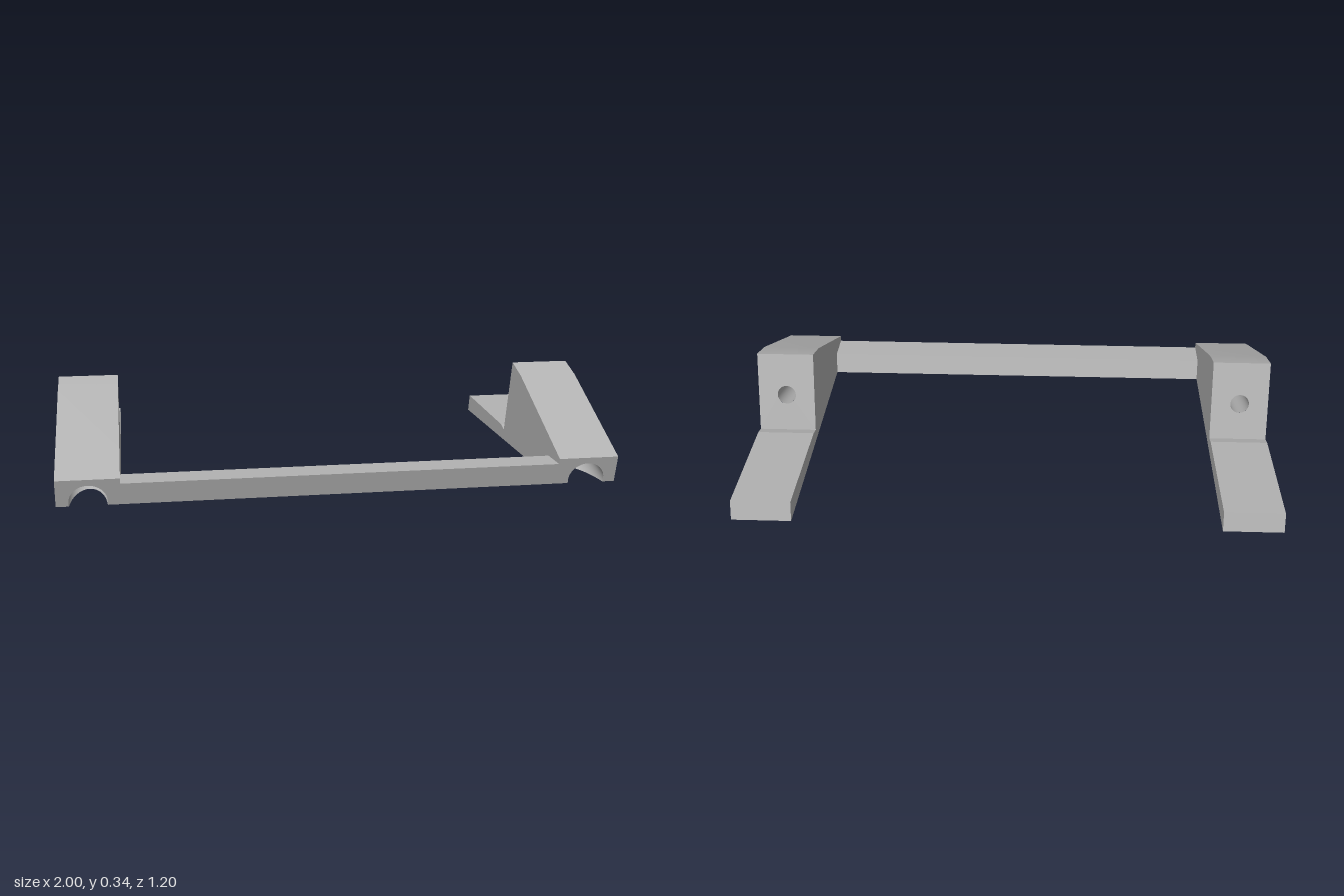
import * as THREE from 'three';

const V = (x, y, z) => new THREE.Vector3(x, y, z);
const LEAN = Math.atan(0.28), COS = Math.cos(LEAN), SIN = Math.sin(LEAN);
const X = V(1, 0, 0), Y = V(0, 1, 0), Z = V(0, 0, 1);
const UP = V(0, COS, SIN);     // up along the leaning faces
const INTO = V(0, SIN, -COS);  // bore direction, front to back

const HALF = 0.11;             // half width of a leg
const TOE = V(0, 0, 0.572);    // foot of the front face
const HEEL = V(0, 0.043, -0.063); // foot of the back slope
const PROFILE = [[0.6, 0.1], [0.13, 0.307], [0.02, 0.34], [-0.063, 0.043],
  [-0.105, 0.055], [-0.578, 0.07], [-0.597, 0], [0.572, 0]]; // z, y
const BIG = 0.067, SMALL = 0.036, DEPTH = 0.3;
const BORE_V = 0.0135;         // bore height on the front face

const shapeOf = pts => new THREE.Shape(pts.map(p => new THREE.Vector2(p[0], p[1])));
const circle = (r, y) => new THREE.Path().absarc(0, y, r, 0, Math.PI * 2, true);
const place = (geo, o, u, v) => geo.applyMatrix4(
  new THREE.Matrix4().makeBasis(u, v, u.clone().cross(v)).setPosition(o));
const patch = (shape, o, u, v) => place(new THREE.ShapeGeometry(shape, 32), o, u, v);

// Smooth skin between two rows of points
function skin(a, b, closed = false) {
  const n = a.length, index = [];
  for (let i = 0; i < (closed ? n : n - 1); i++) {
    const j = (i + 1) % n;
    index.push(i, j, n + j, i, n + j, n + i);
  }
  const geo = new THREE.BufferGeometry().setFromPoints([...a, ...b]);
  geo.setIndex(index);
  geo.computeVertexNormals();
  return geo;
}

const sweep = (from, to, n) => Array.from({ length: n + 1 }, (_, i) => from + (to - from) * i / n);

function createLeg(material, name) {
  const leg = new THREE.Group();
  leg.name = name;
  const add = (geo, part) => {
    const mesh = new THREE.Mesh(geo, material);
    mesh.name = part;
    leg.add(mesh);
  };

  // Side walls
  add(patch(shapeOf(PROFILE.map(([z, y]) => [-z, y])), V(HALF, 0, 0), Z.clone().negate(), Y), 'leftWall');
  add(patch(shapeOf(PROFILE), V(-HALF, 0, 0), Z, Y), 'rightWall');

  // Upper surfaces: one softly bent ramp, then the flat tail
  const strip = (from, to, part) => {
    const row = x => PROFILE.slice(from, to + 1).map(([z, y]) => V(x, y, z));
    add(skin(row(HALF), row(-HALF)), part);
  };
  strip(0, 2, 'ramp');
  strip(3, 4, 'tailLip');
  strip(4, 5, 'tailTop');
  strip(5, 6, 'tailEnd');

  // Point on a bore wall at an angle and distance from the front face
  const centre = TOE.clone().addScaledVector(UP, BORE_V);
  const bore = (r, t, s) => centre.clone().addScaledVector(X, r * Math.cos(t))
    .addScaledVector(UP, r * Math.sin(t)).addScaledVector(INTO, s);
  // The wide bore opens through the front face and the underside
  const rim = t => bore(BIG, t, Math.max(0, -(BORE_V + BIG * Math.sin(t)) * COS / SIN));
  const a0 = Math.asin(-BORE_V / BIG);
  const frontArc = sweep(a0, Math.PI - a0, 28);
  const underArc = sweep(Math.PI - a0, Math.PI * 2 + a0, 24);

  // Front face with a round notch
  const top = 0.1 / COS;
  const notch = frontArc.map(t => [BIG * Math.cos(t), BORE_V + BIG * Math.sin(t)]).reverse();
  add(patch(shapeOf([[-HALF, 0], ...notch, [HALF, 0], [HALF, top], [-HALF, top]]), TOE, X, UP), 'frontFace');

  // Underside with the matching notch
  const slot = underArc.map(t => { const p = rim(t); return [p.x, p.z]; });
  add(patch(shapeOf([[-HALF, -0.597], [HALF, -0.597], [HALF, TOE.z], ...slot.reverse(), [-HALF, TOE.z]]),
    V(0, 0, 0), X, Z), 'underside');

  // Back slope with the small hole
  const offset = centre.clone().sub(HEEL);
  const back = shapeOf([[-HALF, 0], [HALF, 0], [HALF, 0.297 / COS], [-HALF, 0.297 / COS]]);
  back.holes.push(circle(SMALL, offset.dot(UP)));
  add(patch(back, HEEL, X.clone().negate(), UP), 'backSlope');

  // Wide bore, its shoulder and the narrow bore
  const angles = [...frontArc, ...underArc.slice(1, -1)];
  add(skin(angles.map(rim), angles.map(t => bore(BIG, t, DEPTH)), true), 'wideBore');
  const shoulder = new THREE.Shape().absarc(0, 0, BIG, 0, Math.PI * 2, false);
  shoulder.holes.push(circle(SMALL, 0));
  add(patch(shoulder, centre.clone().addScaledVector(INTO, DEPTH), X, UP), 'boreShoulder');
  const ring = sweep(0, Math.PI * 2, 32).slice(0, -1);
  const exit = -offset.dot(INTO);
  add(skin(ring.map(t => bore(SMALL, t, DEPTH)), ring.map(t => bore(SMALL, t, exit)), true), 'narrowBore');
  return leg;
}

export function createModel() {
  const model = new THREE.Group();
  model.name = 'stand';
  const grey = new THREE.MeshStandardMaterial({ color: 0xb2b2b2 });
  grey.name = 'grey';

  for (const [side, name] of [[1, 'leftLeg'], [-1, 'rightLeg']]) {
    const leg = createLeg(grey, name);
    leg.position.x = side * 0.89;
    model.add(leg);
  }

  // Leaning bar joining the legs, flush with their front faces
  const section = shapeOf([[-0.572, 0], [-0.458, 0], [-0.48, 0.08], [-0.5944, 0.08]]);
  const bar = new THREE.Mesh(place(
    new THREE.ExtrudeGeometry(section, { depth: 1.56, bevelEnabled: false }),
    V(-0.78, 0, 0), Z.clone().negate(), Y), grey);
  bar.name = 'crossbar';
  model.add(bar);
  return model;
}
